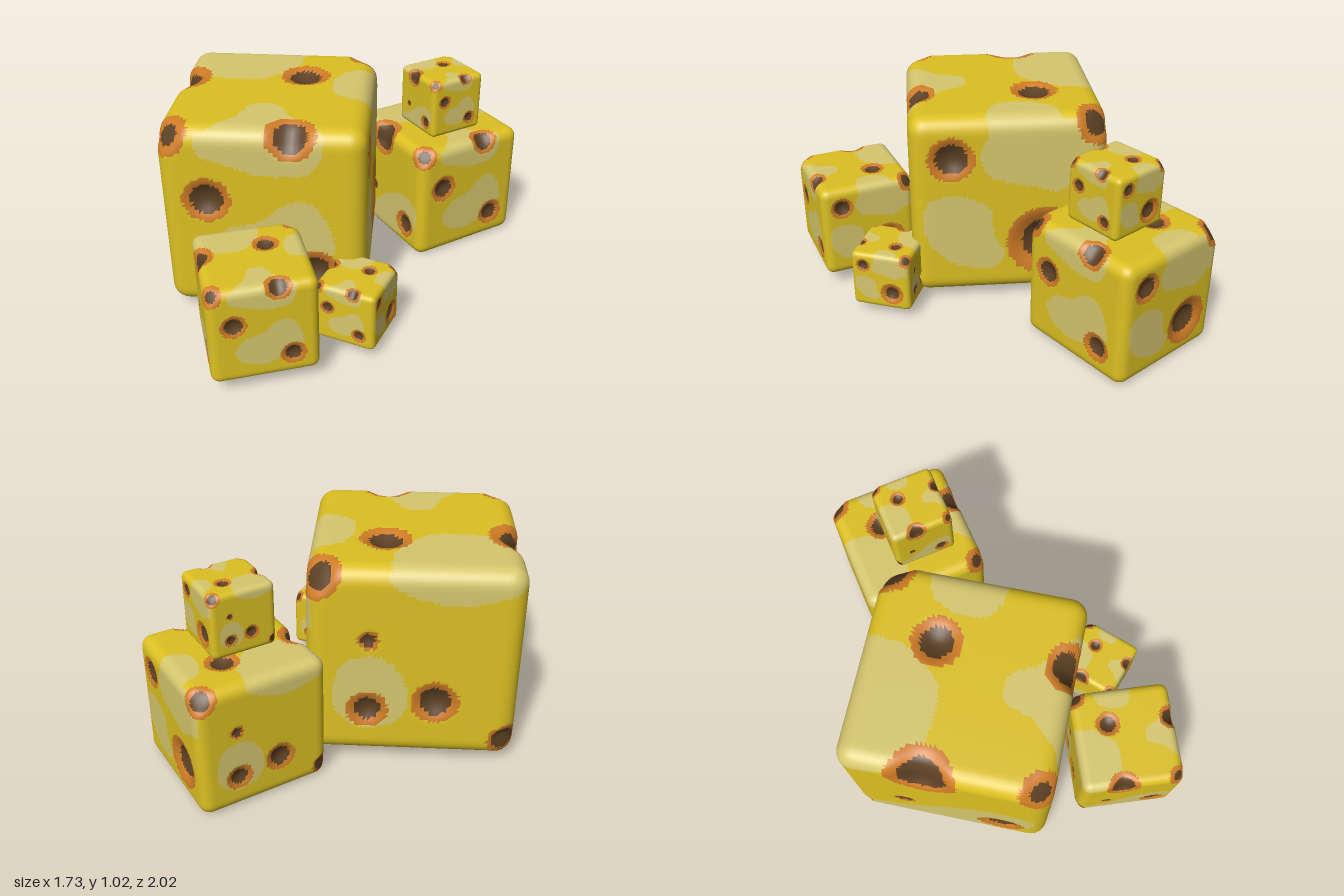
import * as THREE from 'three';
import { mergeVertices } from 'three/addons/utils/BufferGeometryUtils.js';

const mat = (name, color) => {
  const m = new THREE.MeshStandardMaterial({ color });
  m.name = name;
  return m;
};
const MATERIALS = [
  mat('yellow', 0xdcc022),
  mat('pale yellow', 0xd6c76e),
  mat('orange rim', 0xcf7c26),
  mat('dark brown', 0x5c4024),
];
const YELLOW = 0, PALE = 1, ORANGE = 2, BROWN = 3;

// Craters on a unit cube: x, y, z, rim radius, dark radius
const CRATERS = [
  [-0.27, 0.125, 0.5, 0.12, 0.08],
  [0.25, -0.265, 0.5, 0.12, 0.075],
  [0.14, 0.47, 0.47, 0.125, 0.08],
  [-0.45, 0.45, 0.45, 0.11, 0.055],
  [0.14, 0.5, -0.16, 0.125, 0.08],
  [0.45, 0.45, -0.45, 0.12, 0.07],
  [0.5, 0.285, 0.29, 0.12, 0.08],
  [0.5, -0.2, -0.19, 0.2, 0.115],
  [-0.49, 0.42, -0.1, 0.17, 0.115],
  [-0.5, -0.275, 0.27, 0.12, 0.075],
  [-0.5, -0.11, -0.22, 0.055, 0.04],
  [0.21, -0.24, -0.5, 0.1, 0.06],
  [-0.11, -0.19, -0.5, 0.115, 0.075],
  [0.21, 0.14, -0.5, 0.052, 0.036],
  [-0.45, -0.4, -0.48, 0.085, 0.06],
].map(([x, y, z, rim, dark]) => {
  const center = new THREE.Vector3(x, y, z);
  const out = new THREE.Vector3(...[x, y, z].map((v) => (Math.abs(v) >= 0.4 ? Math.sign(v) : 0)));
  const bend = out.length() > 1.1 ? 0.42 : 0.32;
  return { center, out: out.normalize(), rim, dark, depth: rim * bend };
});

// Pale patches per face, as closed outlines: x faces use (z, y), y uses (x, z), z uses (x, y)
const outline = (...p) =>
  new THREE.CatmullRomCurve3(p.map(([u, v]) => new THREE.Vector3(u, v, 0)), true, 'centripetal').getPoints(60);
const PATCHES = {
  '+y': [
    outline([-0.55, -0.18], [-0.42, -0.14], [-0.29, -0.1], [-0.07, -0.11], [0.06, -0.24], [0.11, -0.38], [0.08, -0.55], [-0.55, -0.55]),
    outline([-0.28, 0.55], [-0.22, 0.43], [-0.14, 0.35], [-0.07, 0.19], [0.06, 0.21], [0.12, 0.32], [0.24, 0.4], [0.29, 0.55]),
    outline([0.55, -0.24], [0.36, -0.23], [0.29, -0.08], [0.3, 0.03], [0.39, 0.1], [0.55, 0.1]),
  ],
  '+z': [
    outline([-0.27, 0.55], [-0.3, 0.38], [-0.17, 0.32], [0, 0.27], [0.1, 0.265], [0.23, 0.29], [0.28, 0.36], [0.28, 0.55]),
    outline([-0.27, -0.18], [-0.17, -0.03], [-0.02, 0.01], [0.1, 0.11], [0.215, 0.135], [0.32, 0], [0.34, -0.16], [0.19, -0.26], [0.01, -0.33], [-0.19, -0.29]),
  ],
  '+x': [
    outline([0.44, -0.1], [0.415, 0.04], [0.3, 0.08], [0.18, 0.06], [0.09, -0.01], [0.07, -0.16], [0.02, -0.27], [0.08, -0.35], [0.25, -0.33], [0.37, -0.25]),
    outline([0.09, 0.55], [0.1, 0.42], [0.14, 0.32], [0.11, 0.2], [0, 0.15], [-0.14, 0.12], [-0.25, 0.09], [-0.4, 0.17], [-0.55, 0.2], [-0.55, 0.55]),
  ],
  '-z': [
    outline([0.1, 0.55], [0.12, 0.44], [0, 0.37], [-0.2, 0.33], [-0.38, 0.37], [-0.55, 0.44], [-0.55, 0.55]),
    outline([0.36, -0.06], [0.3, 0.03], [0.15, 0.05], [0.05, -0.05], [0.02, -0.2], [0.08, -0.31], [0.25, -0.34], [0.36, -0.25]),
  ],
  '-x': [
    outline([-0.55, 0.55], [-0.55, 0.43], [-0.35, 0.43], [-0.2, 0.48], [-0.18, 0.55]),
    outline([-0.47, -0.38], [-0.2, -0.26], [0, -0.1], [0.24, 0], [0.42, -0.05], [0.42, -0.25], [0.3, -0.38], [-0.1, -0.46], [-0.4, -0.47]),
  ],
  '-y': [],
};

function inside(poly, u, v) {
  let hit = false;
  for (let i = 0, j = poly.length - 1; i < poly.length; j = i++) {
    const a = poly[i], b = poly[j];
    if (a.y > v !== b.y > v && u < ((b.x - a.x) * (v - a.y)) / (b.y - a.y) + a.x) hit = !hit;
  }
  return hit;
}

// Round a point of the unit box
function roundPoint(p, r = 0.085) {
  const core = p.clone().clampScalar(r - 0.5, 0.5 - r);
  return p.clone().sub(core).setLength(r).add(core);
}

// Colour of a point on the box
function colourAt(p) {
  const q = roundPoint(p);
  let colour = YELLOW;
  for (const c of CRATERS) {
    const d = q.distanceTo(c.center);
    if (d < c.dark) return BROWN;
    if (d < c.rim) colour = ORANGE;
  }
  if (colour === ORANGE) return ORANGE;
  const a = p.toArray().map(Math.abs);
  const axis = 'xyz'[a.indexOf(Math.max(...a))];
  const [u, v] = { x: [p.z, p.y], y: [p.x, p.z], z: [p.x, p.y] }[axis];
  const face = (p[axis] > 0 ? '+' : '-') + axis;
  return PATCHES[face].some((poly) => inside(poly, u, v)) ? PALE : YELLOW;
}

// Unit cheese cube: rounded, dented by craters, triangles grouped by colour
function cheeseGeometry(segments = 48) {
  let geo = new THREE.BoxGeometry(1, 1, 1, segments, segments, segments);
  geo.deleteAttribute('normal');
  geo.deleteAttribute('uv');
  geo.clearGroups();
  geo = mergeVertices(geo, 1e-4);
  const pos = geo.attributes.position;
  const idx = geo.index.array;
  const at = (i) => new THREE.Vector3().fromBufferAttribute(pos, i);

  const buckets = MATERIALS.map(() => []);
  for (let i = 0; i < idx.length; i += 3) {
    const tri = [idx[i], idx[i + 1], idx[i + 2]];
    const mid = at(tri[0]).add(at(tri[1])).add(at(tri[2])).divideScalar(3);
    buckets[colourAt(mid)].push(...tri);
  }
  geo.setIndex(buckets.flat());
  let start = 0;
  buckets.forEach((b, m) => {
    geo.addGroup(start, b.length, m);
    start += b.length;
  });

  for (let i = 0; i < pos.count; i++) {
    const q = roundPoint(at(i));
    const moved = q.clone();
    for (const c of CRATERS) {
      const t = q.distanceTo(c.center) / c.rim;
      if (t < 1) moved.addScaledVector(c.out, -c.depth * (1 - t * t) ** 2);
    }
    pos.setXYZ(i, moved.x, moved.y, moved.z);
  }
  geo.computeVertexNormals();
  return geo;
}

export function createModel() {
  const model = new THREE.Group();
  model.name = 'cheeseCubes';
  const geo = cheeseGeometry();
  // name, centre, size, turn in degrees
  const cubes = [
    ['largeCube', [-0.377, 0.543, -0.08], 0.976, 0],
    ['backCube', [0.445, 0.325, -0.585], 0.635, 35],
    ['stackedCube', [0.452, 0.81, -0.53], 0.312, 35],
    ['frontCube', [-0.375, 0.327, 0.706], 0.495, 19],
    ['smallCube', [0.075, 0.212, 0.522], 0.305, -20],
  ];
  for (const [name, centre, size, turn] of cubes) {
    const mesh = new THREE.Mesh(geo, MATERIALS);
    mesh.name = name;
    mesh.position.set(...centre);
    mesh.scale.setScalar(size);
    mesh.rotation.y = THREE.MathUtils.degToRad(turn);
    model.add(mesh);
  }
  return model;
}
